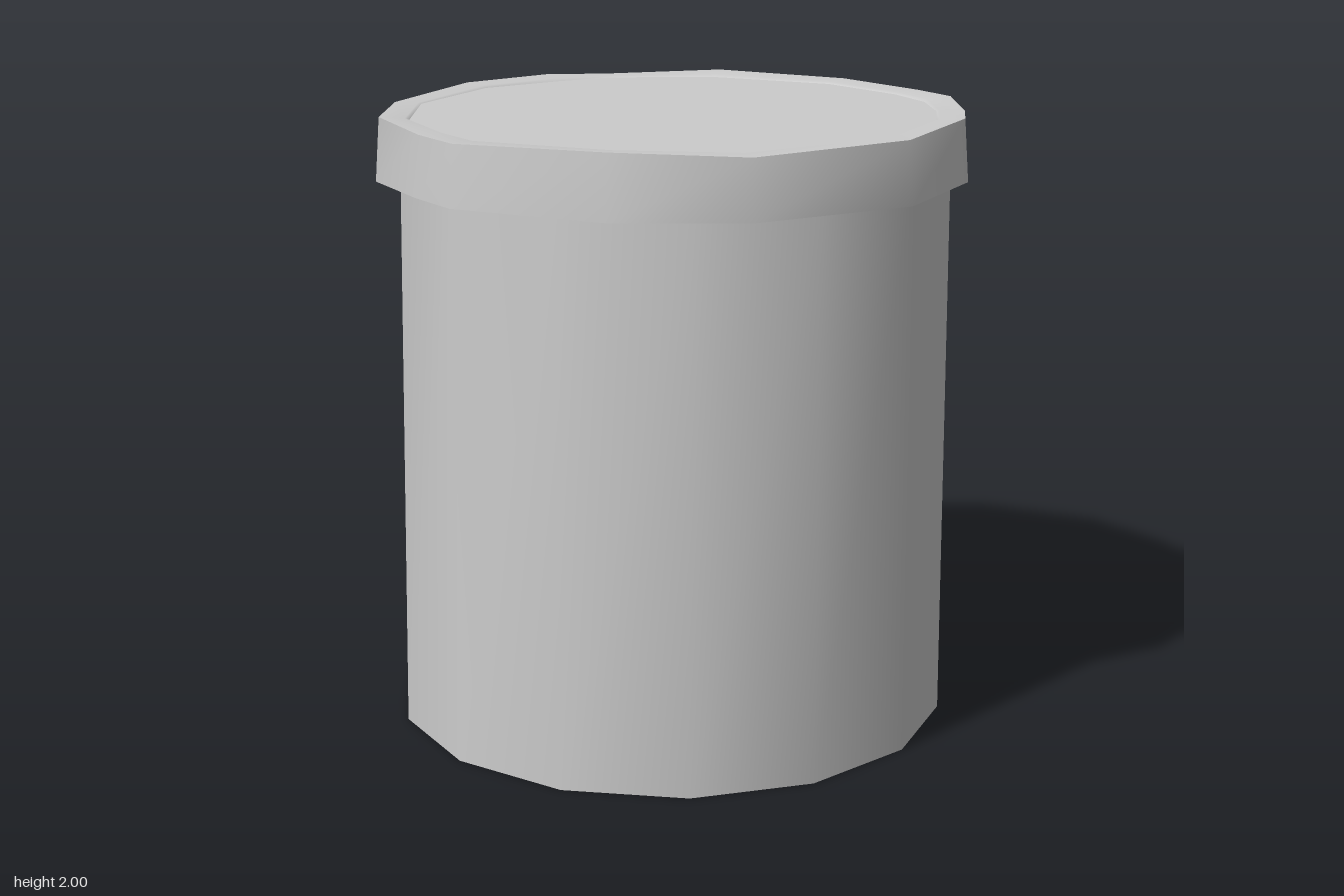
import * as THREE from 'three';
import { mergeVertices, mergeGeometries } from 'three/addons/utils/BufferGeometryUtils.js';

const grey = new THREE.MeshStandardMaterial({ color: 0xcccccc });
const greyFlat = new THREE.MeshStandardMaterial({ color: 0xcccccc, flatShading: true });

// Skin between closed rings of [x, y, z] points, smooth within one skin
function loft(rings) {
  const n = rings[0].length, pos = rings.flat(2), index = [];
  for (let r = 0; r < rings.length - 1; r++) {
    for (let i = 0; i < n; i++) {
      const a = r * n + i, b = r * n + (i + 1) % n;
      index.push(a, a + n, b, b, a + n, b + n);
    }
  }
  const geometry = new THREE.BufferGeometry();
  geometry.setAttribute('position', new THREE.Float32BufferAttribute(pos, 3));
  geometry.setIndex(index);
  const welded = mergeVertices(geometry, 1e-5);
  welded.computeVertexNormals();
  return welded;
}

// Each strip keeps its own normals, so edges between strips stay sharp
const strips = (...list) => mergeGeometries(list.map(loft));

function mesh(name, geometry, material = grey) {
  const m = new THREE.Mesh(geometry, material);
  m.name = name;
  return m;
}

// Irregular outline of the lid, from +x round through +z
const lidOutline = [
  [0.94, 0.04], [0.92, 0.26], [0.82, 0.48], [0.67, 0.69], [0.28, 0.95], [-0.27, 0.95],
  [-0.64, 0.74], [-0.935, 0.31], [-0.95, 0.1], [-0.94, -0.23], [-0.72, -0.61],
  [-0.33, -0.88], [0, -0.915], [0.24, -0.915], [0.6, -0.72], [0.88, -0.33],
];

function lidRing(scale, y, wobble = 0) {
  return lidOutline.map(([x, z], i) => [x * scale, y + wobble * Math.sin(i * 2.3), z * scale]);
}

function bodyRing(radius, y, cx = -0.012, cz = 0.015) {
  return Array.from({ length: 14 }, (_, i) => {
    const a = (i + 0.5) / 14 * Math.PI * 2;
    return [cx + Math.cos(a) * radius, y, cz + Math.sin(a) * radius];
  });
}

export function createModel() {
  const model = new THREE.Group();

  // Slightly tapering drum with a flat bottom
  model.add(mesh('body', strips(
    [bodyRing(0, 0), bodyRing(0.905, 0, -0.018)],
    [bodyRing(0.905, 0, -0.018), bodyRing(0.89, 1.85, -0.008)],
  )));

  // Lid: underside, flared skirt, uneven rim and a shallow sunken top
  const rimTop = lidRing(0.985, 1.99, 0.008);
  model.add(mesh('lid', strips(
    [lidRing(0.86, 1.8), lidRing(1, 1.795)],
    [lidRing(1, 1.795), rimTop],
    [rimTop, lidRing(0.9, 1.987, 0.004), lidRing(0.89, 1.98)],
    [lidRing(0.89, 1.98), lidRing(0, 1.98)],
  )));

  // Bent strap on the back: rows of y, x and outer z of each edge
  const rows = [
    [0.91, -0.2, -0.895, -0.03, -0.9],
    [0.95, -0.27, -0.89, 0.0, -0.907],
    [1.08, -0.28, -0.895, 0.01, -0.92],
    [1.25, -0.24, -0.9, 0.01, -0.94],
    [1.46, -0.26, -0.92, 0.01, -0.958],
    [1.7, -0.27, -0.912, 0.02, -0.948],
    [1.92, -0.28, -0.915, 0.02, -0.932],
  ];
  const thick = 0.025;
  const rings = rows.map(([y, xl, zl, xr, zr]) => [
    [xr, y, zr + thick], [xl, y, zl + thick], [xl, y, zl], [xr, y, zr],
  ]);
  const point = (ring) => {
    const c = [0, 1, 2].map((k) => ring.reduce((s, p) => s + p[k], 0) / 4);
    return ring.map(() => c);
  };
  model.add(mesh('strap', loft([point(rings[0]), ...rings, point(rings[6])]), greyFlat));

  return model;
}
